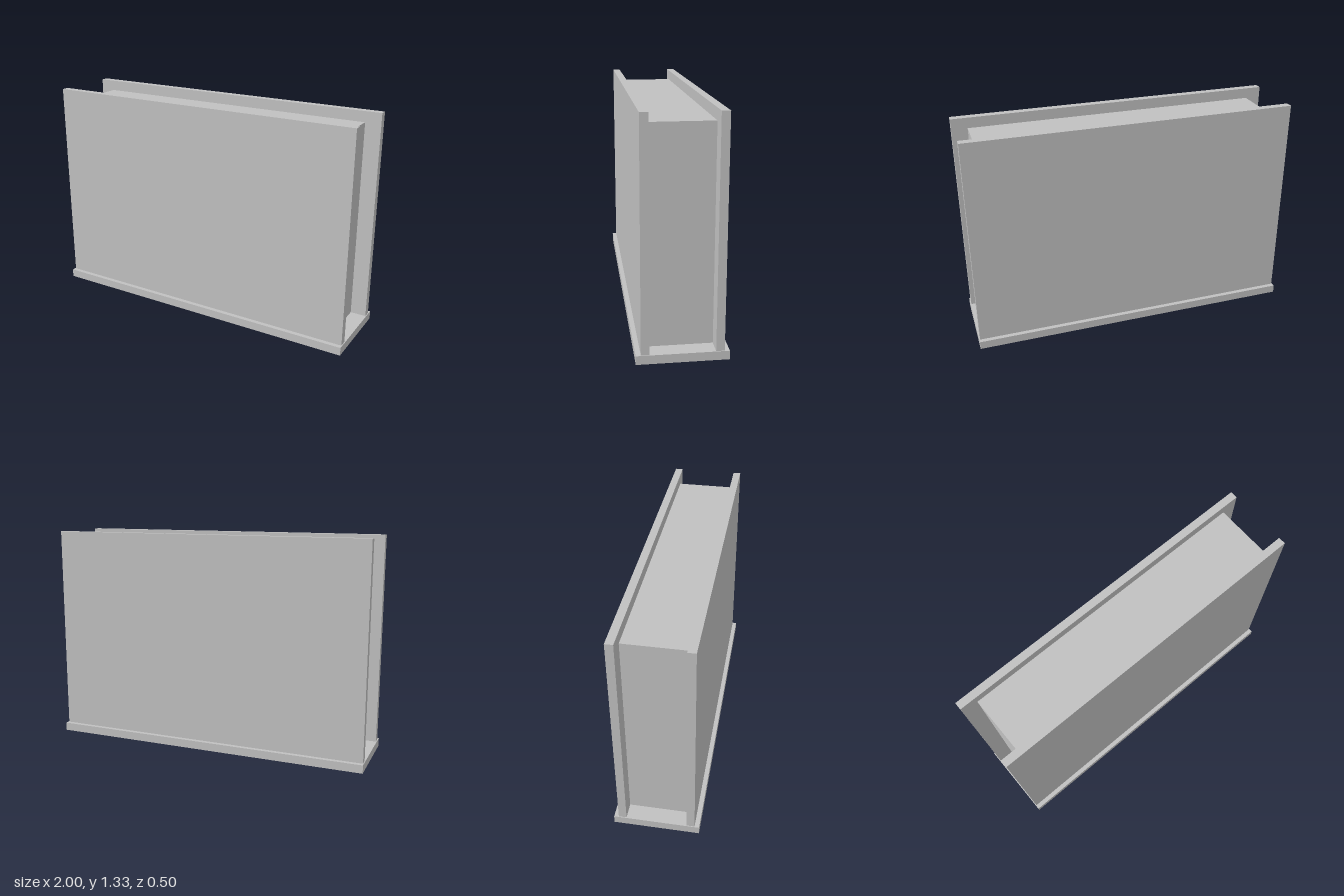
import * as THREE from 'three';

export function createModel() {
  const model = new THREE.Group();
  const grey = new THREE.MeshStandardMaterial({ color: 0xc0c0c0 });
  grey.name = 'light grey';

  // Box placed by its bottom height and its z centre
  const addBox = (name, width, height, depth, bottom, z = 0) => {
    const mesh = new THREE.Mesh(new THREE.BoxGeometry(width, height, depth), grey);
    mesh.name = name;
    mesh.position.set(0, bottom + height / 2, z);
    model.add(mesh);
  };

  const baseTop = 0.05;
  addBox('basePlate', 2, baseTop, 0.5, 0);

  // Inner block, lower and narrower than the panels around it
  addBox('core', 1.8, 1.213, 0.354, baseTop);

  // Matching panels on the front and back of the core
  addBox('frontPanel', 1.99, 1.277, 0.046, baseTop, 0.2);
  addBox('backPanel', 1.99, 1.277, 0.046, baseTop, -0.2);

  return model;
}
